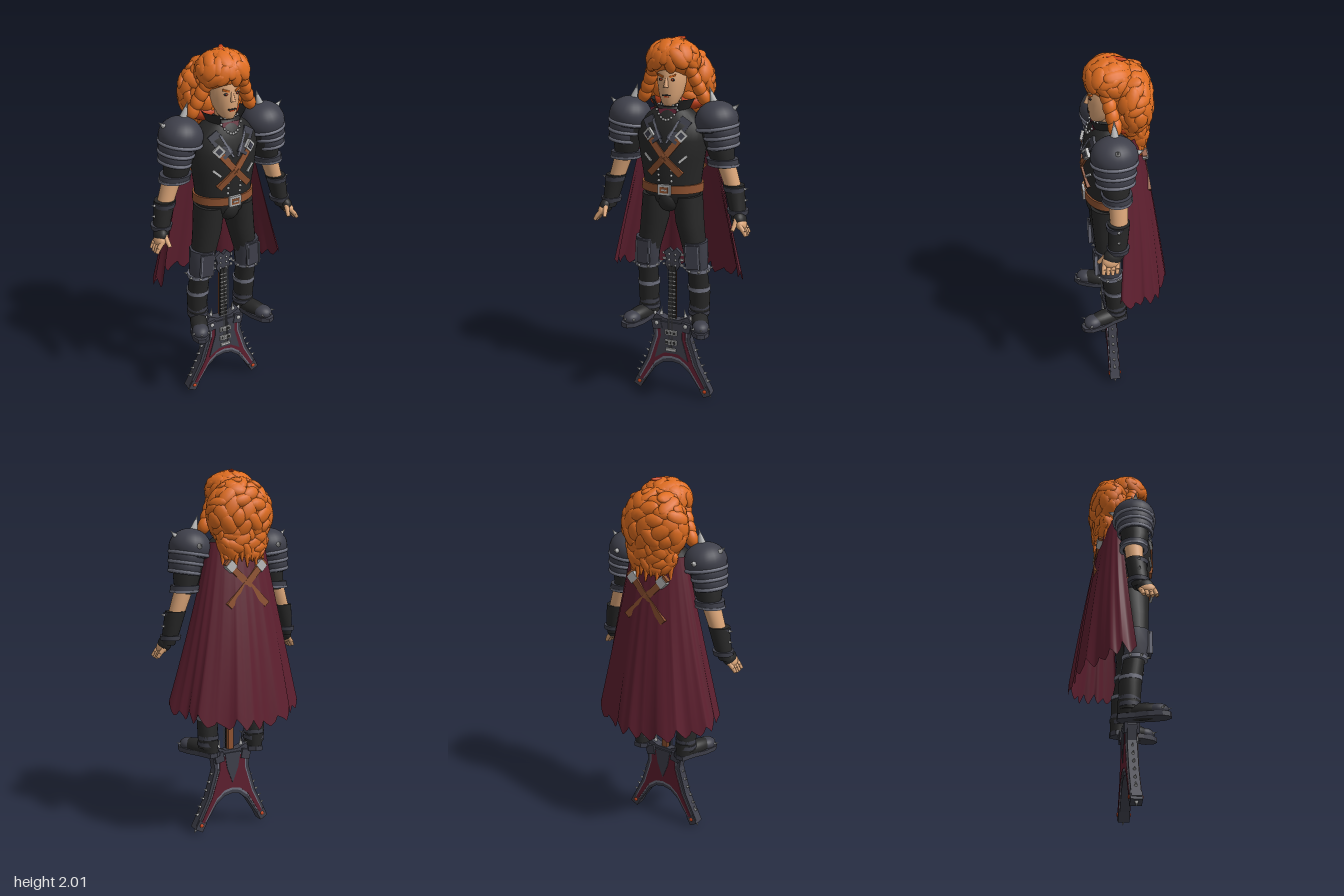
import * as THREE from 'three';
import { mergeGeometries } from 'three/addons/utils/BufferGeometryUtils.js';

const M = {};
for (const [name, hex] of Object.entries({
  black: 0x272727, armor: 0x3e3f4a, trim: 0x6e707e, steel: 0xb2b2b2, hairOrange: 0xdf6d20,
  ember: 0xcb451d, skin: 0xdba578, maroon: 0x5e1f2f, leather: 0x8f5230 })) {
  M[name] = new THREE.MeshStandardMaterial({ color: hex });
  M[name].name = name;
}
M.maroon.side = M.black.side = THREE.DoubleSide;
const V = (a) => new THREE.Vector3(...a);

function add(g, name, geo, mat, p = [0, 0, 0], r = [0, 0, 0]) {
  const m = new THREE.Mesh(geo, mat);
  m.name = name;
  m.position.set(...p);
  m.rotation.set(...r);
  g.add(m);
  return m;
}
// Stack of elliptical rings [y, rx, rz, cx, cz], listed upwards, with flat ends
function loft(rings, n = 24) {
  const a = rings[0], b = rings[rings.length - 1];
  const all = [[a[0], 0, 0, a[3], a[4]], a, ...rings, b, [b[0], 0, 0, b[3], b[4]]];
  const pos = [], idx = [];
  all.forEach(([y, rx, rz, cx = 0, cz = 0], i) => {
    for (let j = 0; j < n; j++) {
      const t = j / n * Math.PI * 2, k = (j + 1) % n, q = i * n;
      pos.push(cx + rx * Math.cos(t), y, cz + rz * Math.sin(t));
      if (i < all.length - 1) idx.push(q + j, q + n + j, q + k, q + k, q + n + j, q + n + k);
    }
  });
  const geo = new THREE.BufferGeometry();
  geo.setAttribute('position', new THREE.Float32BufferAttribute(pos, 3));
  geo.setIndex(idx);
  geo.computeVertexNormals();
  return geo;
}
const ball = (rx, ry, rz, ...arc) => new THREE.SphereGeometry(1, 24, 16, ...arc).scale(rx, ry, rz);
const box = (x, y, z) => new THREE.BoxGeometry(x, y, z);
// Tapered rod from a to b; with r2 = 0 it is a spike
function rod(g, name, mat, a, b, r1, r2 = r1, n = 10) {
  const A = V(a), B = V(b), d = B.clone().sub(A);
  const m = add(g, name, new THREE.CylinderGeometry(r2, r1, d.length(), n), mat);
  m.position.copy(A.add(B).multiplyScalar(0.5));
  m.quaternion.setFromUnitVectors(V([0, 1, 0]), d.normalize());
}
const spike = (g, a, b, r) => rod(g, 'spike', M.steel, a, b, r, 0, 8);
// Flat strap from a to b, lying in the frontal plane
function strip(g, name, mat, a, b, w, t) {
  const A = V(a), B = V(b), y = B.clone().sub(A), len = y.length();
  y.normalize();
  const x = y.clone().cross(V([0, 0, 1])).normalize(), z = x.clone().cross(y);
  const m = add(g, name, box(w, len, t), mat);
  m.quaternion.setFromRotationMatrix(new THREE.Matrix4().makeBasis(x, y, z));
  m.position.copy(A.add(B).multiplyScalar(0.5));
}
function plate(pts, depth, mirrored = true) {
  const full = mirrored ? [...pts, ...pts.filter(p => p[0] > 0).reverse().map(([x, y]) => [-x, y])] : pts;
  return new THREE.ExtrudeGeometry(new THREE.Shape(full.map(p => new THREE.Vector2(...p))), { depth, bevelEnabled: false });
}
// Copy of a group reflected across x = 0
function mirror(src, name) {
  const out = new THREE.Group();
  out.name = name;
  src.updateMatrixWorld(true);
  src.traverse(o => {
    if (!o.isMesh) return;
    const geo = o.geometry.clone().applyMatrix4(o.matrixWorld).applyMatrix4(new THREE.Matrix4().makeScale(-1, 1, 1));
    const ix = geo.index ? Array.from(geo.index.array) : [...Array(geo.attributes.position.count).keys()];
    for (let i = 0; i < ix.length; i += 3) [ix[i], ix[i + 1]] = [ix[i + 1], ix[i]];
    geo.setIndex(ix);
    add(out, o.name, geo, o.material);
  });
  return out;
}

function hair() {
  const g = new THREE.Group();
  g.name = 'hair';
  let seed = 7;
  const rnd = () => (seed = seed * 16807 % 2147483647) / 2147483647;
  // Volumes: centre, radii, number of curls
  const blobs = [[[0, 1.893, 0.05], [0.125, 0.095, 0.11], 60], [[0, 1.775, -0.05], [0.175, 0.17, 0.1], 80], [[0, 1.64, -0.075], [0.13, 0.12, 0.055], 50]];
  const curls = [];
  for (const [c, r, n] of blobs) {
    add(g, 'hairVolume', ball(...r), M.hairOrange, c);
    for (let i = 0; i < n; i++) {
      const y = 1 - 2 * (i + 0.5) / n, t = i * 2.4, q = Math.sqrt(1 - y * y);
      const d = V([q * Math.cos(t), y, q * Math.sin(t)]), p = d.clone().multiply(V(r)).add(V(c));
      if ((p.z > 0.04 && p.y < 1.87) || p.y < 1.55) continue;
      const quat = new THREE.Quaternion().setFromUnitVectors(V([0, 0, 1]), d.divide(V(r)).normalize());
      const geo = new THREE.SphereGeometry(1, 10, 8).scale(0.028 + rnd() * 0.015, 0.045 + rnd() * 0.02, 0.017 + rnd() * 0.006);
      curls.push(geo.rotateZ(rnd() * 2 - 1).applyQuaternion(quat).translate(p.x, p.y, p.z));
    }
  }
  add(g, 'curls', mergeGeometries(curls), M.hairOrange);
  for (let i = -4; i <= 4; i++) // loose ends down the back
    rod(g, 'lock', M.hairOrange, [i * 0.028, 1.62, -0.12 + i * i * 0.003], [i * 0.031, 1.5 + (i & 1) * 0.03, -0.135 + i * i * 0.003], 0.024, 0.004);
  add(g, 'parting', ball(0.016, 0.012, 0.075), M.ember, [0.005, 1.994, 0.035], [0.1, 2.7, 0]);
  add(g, 'innerHair', ball(0.15, 0.055, 0.075), M.ember, [0, 1.68, -0.01]);
  for (const s of [-1, 1]) for (let k = 0; k < 4; k++)
    add(g, 'sideLock', ball(0.035, 0.05, 0.035), M.hairOrange, [s * (0.1 + k * 0.02), 1.85 - k * 0.045, 0.075 - k * 0.01], [0, 0, s * 0.4]);
  return g;
}

function head() {
  const g = new THREE.Group();
  g.name = 'head';
  add(g, 'neck', new THREE.CylinderGeometry(0.045, 0.05, 0.1, 20), M.skin, [0, 1.67, 0.065]);
  add(g, 'face', loft([[1.672, 0.03, 0.03, 0, 0.11], [1.69, 0.045, 0.05, 0, 0.1], [1.73, 0.062, 0.075, 0, 0.082], [1.78, 0.072, 0.085, 0, 0.073], [1.84, 0.074, 0.085, 0, 0.07], [1.9, 0.055, 0.06, 0, 0.07]]), M.skin);
  rod(g, 'nose', M.skin, [0, 1.815, 0.152], [0, 1.768, 0.164], 0.006, 0.013);
  add(g, 'mouth', box(0.042, 0.006, 0.008), M.black, [0, 1.728, 0.156]);
  add(g, 'lip', box(0.026, 0.006, 0.008), M.ember, [0, 1.72, 0.154]);
  for (const s of [-1, 1]) {
    add(g, 'eye', ball(0.013, 0.007, 0.006), M.black, [s * 0.03, 1.805, 0.147]);
    add(g, 'iris', ball(0.005, 0.005, 0.005), M.ember, [s * 0.03, 1.805, 0.152]);
    add(g, 'brow', box(0.034, 0.009, 0.012), M.hairOrange, [s * 0.031, 1.824, 0.148], [0, s * 0.3, s * 0.3]);
  }
  return g;
}

function torso() {
  const g = new THREE.Group();
  g.name = 'torso';
  add(g, 'vest', loft([[1.13, 0.05, 0.07, 0, 0.07], [1.17, 0.14, 0.1, 0, 0.065], [1.23, 0.16, 0.12, 0, 0.06], [1.28, 0.157, 0.12, 0, 0.062], [1.4, 0.175, 0.128, 0, 0.064], [1.5, 0.19, 0.13, 0, 0.062], [1.58, 0.18, 0.118, 0, 0.06], [1.64, 0.11, 0.085, 0, 0.06], [1.67, 0.06, 0.06, 0, 0.065]], 32), M.black);
  add(g, 'codpiece', ball(0.06, 0.07, 0.06), M.black, [0, 1.18, 0.12]);
  add(g, 'belt', loft([[1.222, 0.17, 0.128, 0, 0.062], [1.266, 0.168, 0.128, 0, 0.062]], 32), M.leather);
  add(g, 'buckle', box(0.068, 0.056, 0.014), M.steel, [0, 1.244, 0.192]);
  add(g, 'buckleInset', box(0.044, 0.032, 0.016), M.leather, [0, 1.244, 0.193]);
  add(g, 'bucklePin', box(0.03, 0.008, 0.018), M.steel, [0, 1.244, 0.194]);
  add(g, 'collar', new THREE.CylinderGeometry(0.115, 0.075, 0.08, 24, 1, true, 0.6, Math.PI * 2 - 1.2), M.black, [0, 1.665, 0.06]);
  add(g, 'choker', new THREE.TorusGeometry(0.055, 0.009, 6, 24), M.black, [0, 1.675, 0.07], [1.6, 0, 0]);
  add(g, 'scarf', plate([[0, 1.55], [0.055, 1.655]], 0.012), M.maroon, [0, 0.61, 0.158], [-0.38, 0, 0]).position.set(0, 0.115, 0.738);
  for (let i = -4; i <= 4; i++) add(g, 'chainLink', ball(0.007, 0.007, 0.006), M.steel, [i * 0.014, 1.605 + i * i * 0.003, 0.17 - i * i * 0.0015]);
  for (const s of [-1, 1]) {
    strip(g, 'lapel', M.armor, [s * 0.035, 1.5, 0.189], [s * 0.105, 1.61, 0.138], 0.06, 0.016);
    strip(g, 'lapelEdge', M.trim, [s * 0.012, 1.49, 0.195], [s * 0.07, 1.605, 0.155], 0.01, 0.016);
    // crossed straps on the chest
    strip(g, 'chestStrap', M.leather, [0, 1.415, 0.195], [s * 0.085, 1.52, 0.178], 0.034, 0.018);
    strip(g, 'chestStrap', M.leather, [0, 1.415, 0.195], [s * 0.085, 1.325, 0.172], 0.034, 0.022);
    add(g, 'strapBuckle', box(0.05, 0.05, 0.016), M.steel, [s * 0.087, 1.53, 0.18], [-0.1, s * 0.35, s * -0.75]);
    add(g, 'strapBuckleInset', box(0.028, 0.028, 0.019), M.armor, [s * 0.087, 1.53, 0.181], [-0.1, s * 0.35, s * -0.75]);
    strip(g, 'pocketTrim', M.steel, [s * 0.075, 1.39, 0.182], [s * 0.115, 1.425, 0.164], 0.012, 0.012);
    for (let i = 0; i < 4; i++) add(g, 'stud', ball(0.007, 0.007, 0.006), M.steel, [s * 0.035, 1.29 + i * 0.03, 0.18 + i * 0.003]);
    for (let i = 0; i < 3; i++) add(g, 'collarStud', ball(0.006, 0.006, 0.006), M.steel, [s * (0.025 + i * 0.018), 1.675, 0.128 - i * 0.012]);
    // crossed straps on the back
    strip(g, 'backStrap', M.leather, [s * -0.115, 1.3, -0.135], [s * 0.115, 1.53, -0.11], 0.036, 0.026);
    add(g, 'backBuckle', box(0.05, 0.045, 0.03), M.steel, [s * 0.09, 1.505, -0.115], [0.1, 0, s * -0.78]);
  }
  return g;
}

function arm() {
  const g = new THREE.Group();
  g.name = 'leftArm';
  add(g, 'sleeve', loft([[1.36, 0.055, 0.055, 0.275, 0.05], [1.45, 0.072, 0.075, 0.26, 0.06], [1.58, 0.08, 0.085, 0.225, 0.06]]), M.black);
  add(g, 'forearm', loft([[1.1, 0.03, 0.03, 0.365, 0.07], [1.25, 0.043, 0.044, 0.33, 0.05], [1.38, 0.05, 0.05, 0.285, 0.048]]), M.skin);
  add(g, 'elbowBand', loft([[1.372, 0.08, 0.074, 0.275, 0.052], [1.405, 0.084, 0.078, 0.268, 0.054]]), M.armor);
  add(g, 'elbowTrim', loft([[1.368, 0.084, 0.078, 0.276, 0.052], [1.38, 0.084, 0.078, 0.274, 0.052]]), M.trim);
  add(g, 'bracer', loft([[1.09, 0.038, 0.045, 0.37, 0.075], [1.16, 0.045, 0.05, 0.355, 0.06], [1.27, 0.056, 0.056, 0.332, 0.052]]), M.black);
  for (const [y, x] of [[1.13, 0.361], [1.25, 0.337]])
    add(g, 'bracerStrap', loft([[y - 0.012, 0.053, 0.055, x, 0.06], [y + 0.012, 0.057, 0.058, x - 0.002, 0.06]]), M.armor);
  for (const y of [1.13, 1.19, 1.25]) spike(g, [0.43 - y * 0.03, y, 0.06], [0.458 - y * 0.035, y + 0.005, 0.06], 0.008);
  // layered plates with rims
  for (const [x, y, rx, ry, rz] of [[0.272, 1.5, 0.083, 0.085, 0.098], [0.262, 1.55, 0.092, 0.09, 0.105], [0.238, 1.6, 0.113, 0.1, 0.117]]) {
    add(g, 'shoulderPlate', ball(rx, ry, rz, 0, Math.PI * 2, 0, Math.PI * 0.66), M.armor, [x, y, 0.06], [0, 0, 0.15]);
    const rim = new THREE.TorusGeometry(1, 0.07, 8, 32).rotateX(Math.PI / 2).scale(rx * 0.96, 0.14, rz * 0.96);
    add(g, 'plateRim', rim, M.trim, [x + 0.004, y - ry * 0.32, 0.06], [0, 0, 0.15]);
  }
  spike(g, [0.22, 1.69, 0.055], [0.195, 1.77, 0.055], 0.022);
  spike(g, [0.305, 1.645, 0.055], [0.355, 1.69, 0.055], 0.022);
  spike(g, [0.24, 1.61, -0.05], [0.24, 1.62, -0.085], 0.016);
  // hand with fingerless glove
  add(g, 'glove', ball(0.034, 0.045, 0.048), M.black, [0.38, 1.095, 0.09], [0, 0, 0.3]);
  add(g, 'palm', ball(0.028, 0.035, 0.046), M.skin, [0.39, 1.075, 0.1], [0, 0, 0.4]);
  for (let i = 0; i < 4; i++) {
    const z = 0.065 + i * 0.023, y = 1.045 - (i % 3 ? 0.006 : 0);
    rod(g, 'finger', M.skin, [0.39, 1.075, z], [0.415, y, z + 0.006], 0.013, 0.012);
    rod(g, 'fingertip', M.skin, [0.415, y, z + 0.006], [0.428, y - 0.022, z + 0.01], 0.012, 0.009);
  }
  rod(g, 'thumb', M.skin, [0.37, 1.1, 0.12], [0.36, 1.05, 0.16], 0.015, 0.01);
  return g;
}

function leg() {
  const g = new THREE.Group();
  g.name = 'leftLeg';
  add(g, 'trouserLeg', loft([[0.5, 0.052, 0.055, 0.15, 0.04], [0.64, 0.058, 0.06, 0.15, 0.045], [0.76, 0.054, 0.056, 0.145, 0.065], [0.88, 0.062, 0.066, 0.133, 0.078], [1.05, 0.076, 0.085, 0.1, 0.072], [1.2, 0.078, 0.1, 0.085, 0.065]]), M.black);
  add(g, 'kneeGuard', loft([[0.79, 0.063, 0.066, 0.142, 0.075], [0.86, 0.068, 0.072, 0.14, 0.082], [0.95, 0.072, 0.076, 0.132, 0.082]], 10), M.armor);
  add(g, 'kneePlate', box(0.07, 0.13, 0.03), M.armor, [0.142, 0.875, 0.145], [0, 0.12, 0.05]);
  for (const s of [-1, 1]) add(g, 'kneeTrim', box(0.008, 0.13, 0.014), M.trim, [0.142 + s * 0.035, 0.875, 0.155], [0, 0.12, 0.05]);
  for (const [y, r, z, m] of [[0.785, 0.068, 0.07, M.trim], [0.67, 0.063, 0.048, M.trim], [0.56, 0.058, 0.042, M.armor], [0.525, 0.06, 0.042, M.armor]])
    add(g, 'legBand', loft([[y - 0.011, r, r, 0.147, z], [y + 0.011, r, r, 0.147, z]]), m);
  for (const t of [-0.5, 0.4, 1.2, 2, 2.8, 3.6]) {
    const c = Math.cos(t), s = Math.sin(t);
    spike(g, [0.147 + 0.064 * c, 0.785, 0.07 + 0.064 * s], [0.147 + 0.088 * c, 0.79, 0.07 + 0.088 * s], 0.009);
  }
  // boot, toes turned out
  const b = new THREE.Group();
  b.name = 'boot';
  b.position.set(0.14, 0, 0.02);
  b.rotation.y = 0.36;
  const sole = [[0, -0.045], [0.04, -0.03], [0.042, 0.06], [0.052, 0.13], [0.045, 0.2], [0.02, 0.235], [0, 0.238]];
  add(b, 'sole', plate(sole, 0.026).rotateX(Math.PI / 2), M.armor, [0, 0.476, 0]);
  add(b, 'bootUpper', ball(0.047, 0.045, 0.12), M.black, [0, 0.49, 0.09]);
  add(b, 'ankle', loft([[0.476, 0.044, 0.055, 0, 0.015], [0.55, 0.052, 0.058, 0.004, 0.018]]), M.black);
  add(b, 'toeCap', ball(0.047, 0.037, 0.055), M.armor, [0, 0.49, 0.17]);
  for (const x of [-0.032, 0, 0.032]) spike(b, [x, 0.49, 0.21 - Math.abs(x) * 0.6], [x * 1.7, 0.5, 0.24 - Math.abs(x) * 0.6], 0.009);
  g.add(b);
  return g;
}

function cape() {
  // flared sheet with folds and a ragged hem
  const nu = 120, nv = 16, geo = new THREE.PlaneGeometry(1, 1, nu, nv), p = geo.attributes.position;
  for (let i = 0; i < p.count; i++) {
    const u = p.getX(i) * 2, v = 0.5 - p.getY(i), t = u * 1.68, f = v * v;
    const tooth = Math.abs(((u + 1) * 6.5 + 0.15 * Math.sin(u * 9)) % 1 - 0.35) * (0.09 + 0.03 * Math.sin(u * 13));
    const hem = 0.645 + 0.09 * Math.abs(u) ** 1.5 + tooth, fold = 1 + 0.04 * f * Math.sin(u * 15);
    p.setXYZ(i, (0.165 + 0.205 * v) * Math.sin(t) * fold,
      1.63 + (hem - 1.63) * v, -0.01 + 0.03 * f - (0.085 + 0.185 * v) * Math.cos(t) * fold);
  }
  geo.computeVertexNormals();
  return geo;
}

function guitar() {
  const g = new THREE.Group();
  g.name = 'guitar';
  const body = [[0.04, 0.465], [0.095, 0.49], [0.122, 0.44], [0.108, 0.36], [0.155, 0.2], [0.23, 0.05], [0.195, 0.012], [0.1, 0.155], [0.05, 0.195], [0, 0.205]];
  const edge = [[0.035, 0.44], [0.092, 0.44], [0.09, 0.35], [0.137, 0.2], [0.208, 0.06], [0.182, 0.045], [0.1, 0.178], [0.05, 0.217], [0, 0.227]];
  const panel = [[0.035, 0.43], [0.082, 0.43], [0.082, 0.35], [0.129, 0.2], [0.196, 0.07], [0.18, 0.06], [0.1, 0.192], [0.05, 0.232], [0, 0.242]];
  add(g, 'body', plate(body, 0.05), M.armor, [0, 0, 0.035]);
  add(g, 'edgeInlay', plate(edge, 0.058), M.trim, [0, 0, 0.031]);
  add(g, 'panels', plate(panel, 0.064), M.maroon, [0, 0, 0.028]);
  add(g, 'frontGuard', plate([[0.065, 0.45], [0.062, 0.36], [0.1, 0.22], [0.04, 0.26], [0, 0.26]], 0.008), M.armor, [0, 0, 0.088]);
  add(g, 'backGuard', plate([[0.05, 0.45], [0.035, 0.36], [0, 0.27]], 0.008), M.armor, [0, 0, 0.024]);
  add(g, 'neckBack', box(0.034, 0.33, 0.022), M.leather, [0, 0.61, 0.055]);
  add(g, 'fretboard', box(0.042, 0.4, 0.014), M.black, [0, 0.58, 0.072]);
  for (let i = 0; i < 14; i++) add(g, 'fret', box(0.042, 0.005, 0.004), M.steel, [0, 0.42 + i * 0.025, 0.08]);
  add(g, 'headstock', plate([[0.022, 0.75], [0.045, 0.79], [0.035, 0.82], [0.05, 0.86], [0.02, 0.885], [0, 0.865]], 0.024), M.armor, [0, 0, 0.05]);
  for (const y of [0.39, 0.33]) {
    add(g, 'pickup', box(0.07, 0.028, 0.012), M.steel, [0, y, 0.099]);
    add(g, 'pickupInset', box(0.058, 0.016, 0.014), M.black, [0, y, 0.099]);
  }
  add(g, 'bridge', box(0.06, 0.016, 0.016), M.steel, [0, 0.285, 0.099]);
  for (let i = -2; i <= 2; i++) add(g, 'string', box(0.0018, 0.53, 0.0018), M.steel, [i * 0.007, 0.55, 0.106]);
  for (const s of [-1, 1]) {
    add(g, 'hornBlock', box(0.055, 0.055, 0.08), M.armor, [s * 0.085, 0.43, 0.06], [0, 0, s * -0.2]);
    add(g, 'hornBolt', ball(0.012, 0.012, 0.006), M.steel, [s * 0.085, 0.44, 0.101]);
    spike(g, [s * 0.075, 0.465, 0.06], [s * 0.065, 0.53, 0.06], 0.014);
    spike(g, [s * 0.1, 0.47, 0.06], [s * 0.13, 0.51, 0.06], 0.012);
    add(g, 'tipCap', box(0.05, 0.055, 0.06), M.armor, [s * 0.2, 0.045, 0.06], [0, 0, s * 0.5]);
    for (const z of [0.092, 0.028]) add(g, 'tipGem', ball(0.011, 0.011, 0.006), M.ember, [s * 0.198, 0.05, z]);
    spike(g, [s * 0.215, 0.03, 0.06], [s * 0.228, 0, 0.06], 0.012);
    spike(g, [s * 0.2, 0.07, 0.06], [s * 0.2, 0.13, 0.06], 0.012);
    for (let i = 0; i < 6; i++) spike(g, [s * (0.112 + i * 0.019), 0.33 - i * 0.045, 0.06], [s * (0.134 + i * 0.019), 0.34 - i * 0.045, 0.06], 0.008);
    for (let i = 0; i < 3; i++) {
      add(g, 'tuner', box(0.02, 0.012, 0.01), M.steel, [s * 0.052, 0.785 + i * 0.032, 0.06]);
      add(g, 'tunerPost', ball(0.006, 0.006, 0.006), M.steel, [s * 0.018, 0.785 + i * 0.032, 0.076]);
    }
  }
  return g;
}

export function createModel() {
  const root = new THREE.Group();
  root.name = 'armoredMusician';
  const a = arm(), l = leg();
  root.add(hair(), head(), torso(), a, mirror(a, 'rightArm'), l, mirror(l, 'rightLeg'), guitar());
  add(root, 'cape', cape(), M.maroon);
  return root;
}
